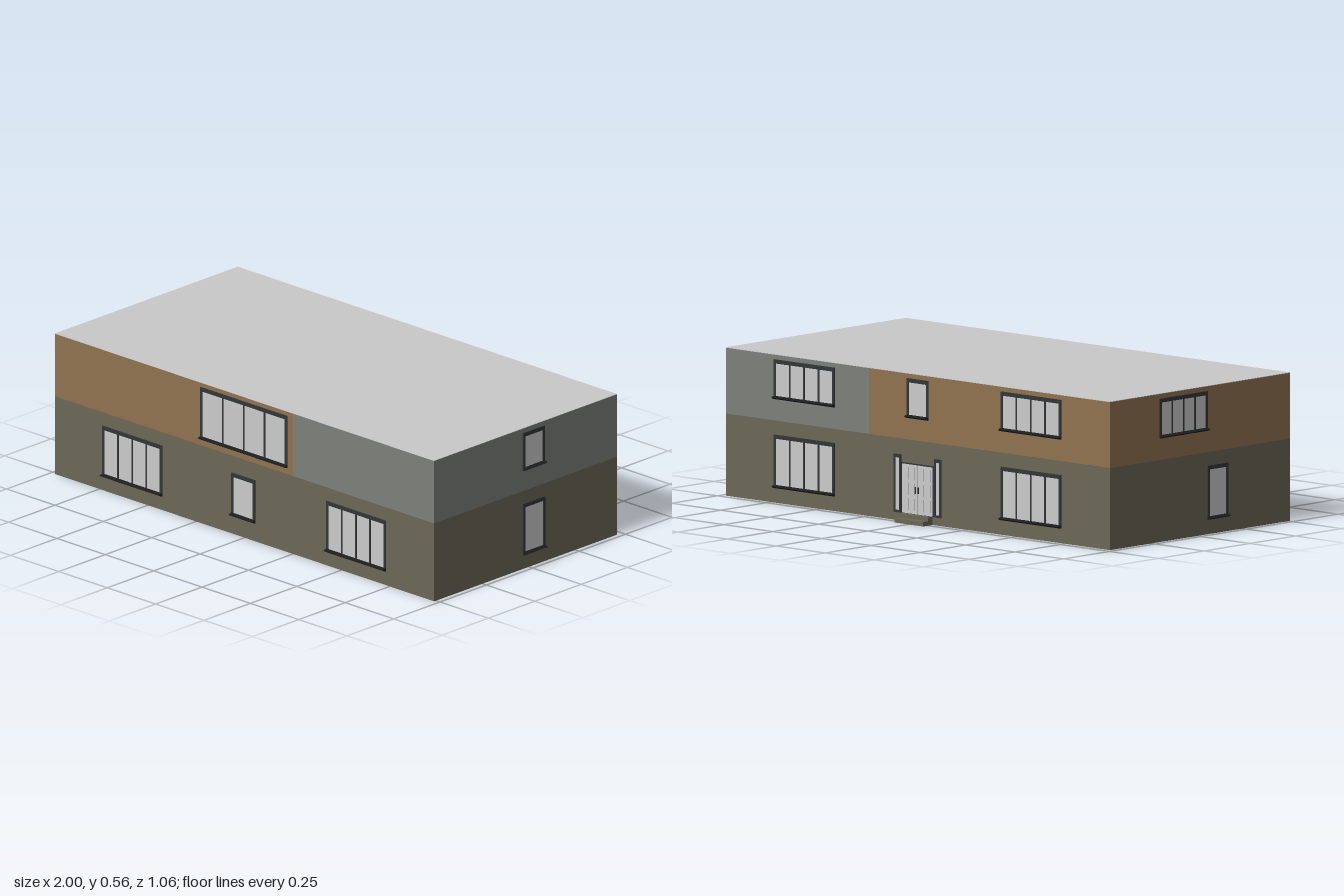
import * as THREE from 'three';

const mat = (name, color, side = THREE.FrontSide) => {
  const m = new THREE.MeshStandardMaterial({ color, side });
  m.name = name;
  return m;
};

export function createModel() {
  const olive = mat('olive wall', 0x6b6756);
  const grey = mat('grey cladding', 0x7c807a);
  const brown = mat('brown cladding', 0x917350);
  const roofGrey = mat('roof grey', 0xc8c8c8);
  const glass = mat('pale glass', 0xcbcbcb);
  const dark = mat('dark frame', 0x333638);
  const black = mat('black sill', 0x1c1d1e);

  const model = new THREE.Group();
  model.name = 'house';
  const X = 0.98, ZF = 0.51, ZB = -0.475, FLOOR = 0.31, TOP = 0.56, SPLIT = 0.25;

  const add = (parent, name, geometry, material) => {
    const mesh = new THREE.Mesh(geometry, material);
    mesh.name = name;
    parent.add(mesh);
    return mesh;
  };
  // box given by its two opposite corners
  const box = (parent, name, material, x0, x1, y0, y1, z0, z1) => {
    const g = new THREE.BoxGeometry(x1 - x0, y1 - y0, z1 - z0);
    g.translate((x0 + x1) / 2, (y0 + y1) / 2, (z0 + z1) / 2);
    return add(parent, name, g, material);
  };
  const rect = (Type, x0, x1, y0, y1) => new Type([
    new THREE.Vector2(x0, y0), new THREE.Vector2(x1, y0),
    new THREE.Vector2(x1, y1), new THREE.Vector2(x0, y1)]);

  // storeys and flat roof
  box(model, 'groundFloor', olive, -X, X, 0, FLOOR, ZB, ZF);
  box(model, 'upperFloorBrown', brown, -X, SPLIT, FLOOR, TOP - 0.002, ZB, ZF);
  box(model, 'upperFloorGrey', grey, SPLIT, X, FLOOR, TOP - 0.002, ZB, ZF);
  box(model, 'roof', roofGrey, -X, X, TOP - 0.002, TOP, ZB, ZF);

  // one local frame per wall: x along the wall, z outwards
  const wall = (name, x, z, turn) => {
    const g = new THREE.Group();
    g.name = name;
    g.position.set(x, 0, z);
    g.rotation.y = turn;
    model.add(g);
    return g;
  };
  const front = wall('frontOpenings', 0, ZF, 0);
  const back = wall('backOpenings', 0, ZB, Math.PI);
  const left = wall('leftOpenings', X, 0, Math.PI / 2);
  const right = wall('rightOpenings', -X, 0, -Math.PI / 2);

  // framed glazing, split into equal panes
  const glazing = (parent, name, x0, x1, y0, y1, panes, edge = 0.011, bar = 0.007) => {
    const g = new THREE.Group();
    g.name = name;
    parent.add(g);
    const shape = rect(THREE.Shape, x0, x1, y0, y1);
    const w = (x1 - x0 - 2 * edge - (panes - 1) * bar) / panes;
    for (let i = 0; i < panes; i++) {
      const px = x0 + edge + i * (w + bar);
      shape.holes.push(rect(THREE.Path, px, px + w, y0 + edge, y1 - edge - 0.004));
    }
    add(g, 'frame', new THREE.ExtrudeGeometry(shape, { depth: 0.004, bevelEnabled: false }), dark);
    box(g, 'glass', glass, x0 + 0.005, x1 - 0.005, y0 + 0.005, y1 - 0.005, -0.002, 0.002);
    return g;
  };

  // window with a wedge-shaped sill
  const addWindow = (parent, name, x0, x1, y0, y1, panes) => {
    const g = glazing(parent, name, x0, x1, y0, y1, panes);
    const profile = new THREE.Shape([
      new THREE.Vector2(0, y0), new THREE.Vector2(0.01, y0 + 0.002),
      new THREE.Vector2(0.018, y0 + 0.007), new THREE.Vector2(0.01, y0 + 0.011),
      new THREE.Vector2(0, y0 + 0.013)]);
    const sill = new THREE.ExtrudeGeometry(profile, { depth: x1 - x0, bevelEnabled: false });
    sill.rotateY(-Math.PI / 2);
    sill.translate(x1, 0, 0);
    add(g, 'sill', sill, black);
  };

  // wide windows beside the centre, front and back
  for (const s of [-1, 1]) {
    const x0 = s < 0 ? -0.732 : 0.424;
    addWindow(front, 'wideWindow', x0, x0 + 0.308, 0.055, 0.257, 4);
    addWindow(back, 'wideWindow', x0, x0 + 0.308, 0.055, 0.257, 4);
    addWindow(back, 'upperWideWindow', x0, x0 + 0.308, 0.391, 0.541, 4);
  }
  addWindow(front, 'upperWideWindow', -0.226, 0.222, 0.335, 0.542, 4);
  addWindow(front, 'smallWindow', -0.066, 0.056, 0.072, 0.243, 1);
  addWindow(back, 'smallWindow', -0.055, 0.055, 0.391, 0.541, 1);

  // side windows
  addWindow(left, 'lowerWindow', -0.034, 0.085, 0.055, 0.259, 1);
  addWindow(left, 'upperWindow', -0.034, 0.083, 0.391, 0.541, 1);
  addWindow(right, 'lowerWindow', 0.055, 0.167, 0.055, 0.259, 1);
  addWindow(right, 'upperWindow', -0.207, 0.055, 0.391, 0.541, 4);

  // back entrance: double door with raised panels, handles and sidelights
  const door = new THREE.Group();
  door.name = 'entrance';
  back.add(door);
  box(door, 'doorFrame', dark, -0.083, 0.083, 0.03, 0.222, 0, 0.002);
  for (const s of [-1, 1]) {
    const c = s * 0.039;
    box(door, 'doorLeaf', glass, c - 0.038, c + 0.038, 0.032, 0.217, 0, 0.004);
    for (let row = 0; row < 3; row++) {
      const y = 0.044 + row * 0.058;
      for (const d of [-0.016, 0.016]) {
        box(door, 'doorPanel', glass, c + d - 0.012, c + d + 0.012, y, y + 0.046, 0.004, 0.006);
      }
    }
    box(door, 'doorHandle', dark, s * 0.007 - 0.002, s * 0.007 + 0.002, 0.11, 0.135, 0.004, 0.009);
    glazing(door, 'sidelight', s * 0.103 - 0.018, s * 0.103 + 0.018, 0.03, 0.25, 1, 0.009);
  }

  // entrance steps
  box(model, 'lowerStep', olive, -0.075, 0.072, 0, 0.017, -0.527, ZB);
  box(model, 'upperStep', olive, -0.075, 0.072, 0.017, 0.031, -0.499, ZB);

  return model;
}
